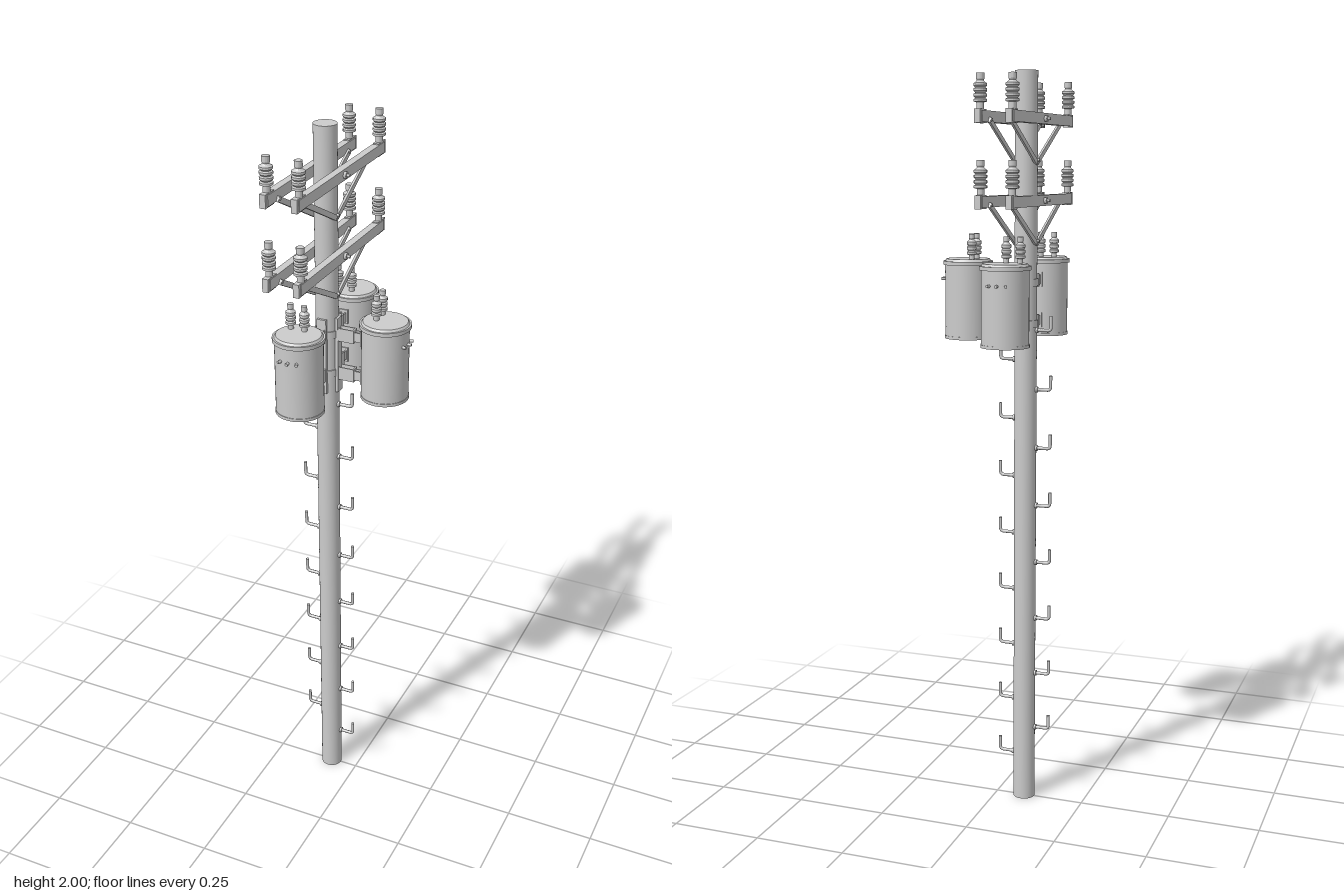
import * as THREE from 'three';

const material = new THREE.MeshStandardMaterial({ color: 0xcccccc });
const ridged = new THREE.MeshStandardMaterial({ color: 0xcccccc, flatShading: true });
const POLE_X = -0.08, POLE_R = 0.03;

function add(parent, name, geometry, x = 0, y = 0, z = 0, mat = material) {
  const mesh = new THREE.Mesh(geometry, mat);
  mesh.name = name;
  mesh.position.set(x, y, z);
  parent.add(mesh);
  return mesh;
}

const box = (w, h, d) => new THREE.BoxGeometry(w, h, d);
const cyl = (r, h, n = 16) => new THREE.CylinderGeometry(r, r, h, n);
const lathe = (pts, n) => new THREE.LatheGeometry(pts.map(([r, y]) => new THREE.Vector2(r, y)), n);

// Flat bar between two points in the yz plane
function strut(parent, name, x, [y0, z0], [y1, z1]) {
  const bar = add(parent, name, box(0.006, 0.014, Math.hypot(y1 - y0, z1 - z0)), x, (y0 + y1) / 2, (z0 + z1) / 2);
  bar.rotation.x = -Math.atan2(y1 - y0, z1 - z0);
}

// Ribbed insulator standing on y = 0: stem, sheds and cap
function insulatorGeometry(height, radius, sheds) {
  const pts = [[0, 0], [radius * 0.55, 0], [radius * 0.55, height * 0.2]];
  const step = height * 0.58 / sheds;
  for (let i = 0; i < sheds; i++) {
    const y = height * 0.2 + i * step;
    pts.push([radius, y + step * 0.15], [radius, y + step * 0.6], [radius * 0.72, y + step * 0.8]);
  }
  pts.push([radius * 0.5, height * 0.8], [radius * 0.6, height * 0.84], [radius * 0.6, height], [0, height]);
  return lathe(pts, 16);
}

// A pair of crossarms with braces, bolts and insulators
function crossarmSet(y) {
  const g = new THREE.Group();
  g.name = 'crossarmSet';
  g.position.set(POLE_X, y, 0);
  const pin = insulatorGeometry(0.088, 0.017, 4);
  for (const s of [-1, 1]) {
    const x = s * 0.041;
    add(g, 'crossarm', box(0.02, 0.028, 0.49), x, 0, 0);
    for (const e of [-1, 1]) {
      add(g, 'armEndBracket', box(0.016, 0.034, 0.044), x, 0, e * 0.232);
      add(g, 'pinInsulator', pin, x + s * 0.001, 0.015, e * 0.229, ridged);
      strut(g, 'diagonalBrace', s * 0.0285, [-0.008, e * 0.2], [-0.112, e * 0.002]);
      add(g, 'braceBolt', cyl(0.005, 0.012, 6), s * 0.029, -0.008, e * 0.195).rotation.z = Math.PI / 2;
    }
    add(g, 'boltNut', cyl(0.009, 0.008, 6), s * 0.054, 0, 0).rotation.z = Math.PI / 2;
  }
  add(g, 'throughBolt', cyl(0.004, 0.132, 8), 0, 0, 0).rotation.z = Math.PI / 2;
  add(g, 'braceThroughBolt', cyl(0.004, 0.074, 8), 0, -0.105, 0).rotation.z = Math.PI / 2;
  return g;
}

// Transformer can, hung on the +x side of the pole; side flips its bushings
function transformer(angle, side) {
  const g = new THREE.Group();
  g.name = 'transformer';
  g.position.x = POLE_X;
  g.rotation.y = angle;
  const cx = 0.164;

  add(g, 'tank', cyl(0.062, 0.2, 40), cx, 1.402, 0);
  add(g, 'tankFoot', cyl(0.0635, 0.008, 40), cx, 1.304, 0);
  add(g, 'lidRim', cyl(0.067, 0.01, 40), cx, 1.503, 0);
  add(g, 'lid', new THREE.CylinderGeometry(0.058, 0.062, 0.006, 40), cx, 1.511, 0);

  const bushing = insulatorGeometry(0.07, 0.013, 3);
  for (const z of [-0.033, 0.005]) add(g, 'bushing', bushing, cx - 0.023, 1.511, z * side, ridged);

  // Low-voltage terminals on the outer face
  for (const a of [-0.36, 0, 0.36]) {
    const t = add(g, 'terminal', cyl(0.004, 0.014, 8), cx + Math.cos(a) * 0.065, 1.46, Math.sin(a) * 0.065);
    t.rotation.set(0, -a, Math.PI / 2, 'YXZ');
  }

  // Hanger: pole plate, two channels and two tank lugs
  add(g, 'polePlate', box(0.008, 0.21, 0.026), POLE_R + 0.002, 1.395, 0);
  for (const y of [1.455, 1.345]) {
    for (const s of [-1, 1]) {
      add(g, 'channelSide', box(0.05, 0.036, 0.003), 0.055, y, s * 0.0095);
      add(g, 'lugSide', box(0.034, 0.026, 0.003), 0.09, y, s * 0.0065);
    }
    add(g, 'channelEnd', box(0.004, 0.036, 0.02), 0.078, y, 0);
    add(g, 'tankPad', box(0.006, 0.04, 0.024), cx - 0.062, y, 0);
  }
  return g;
}

// L-shaped climbing step on one side of the pole
function climbingStep(parent, side, y) {
  const path = new THREE.CurvePath();
  const p = (x, py) => new THREE.Vector3(POLE_X + side * x, y + py, 0);
  path.add(new THREE.LineCurve3(p(0.02, 0), p(0.062, 0)));
  path.add(new THREE.QuadraticBezierCurve3(p(0.062, 0), p(0.071, 0), p(0.071, 0.009)));
  path.add(new THREE.LineCurve3(p(0.071, 0.009), p(0.071, 0.038)));
  add(parent, 'climbingStep', new THREE.TubeGeometry(path, 24, 0.0045, 8));
  add(parent, 'stepTip', cyl(0.0045, 0.002, 8), POLE_X + side * 0.071, y + 0.038, 0);
  add(parent, 'stepCollar', cyl(0.008, 0.006, 8), POLE_X + side * 0.032, y, 0).rotation.z = Math.PI / 2;
}

export function createModel() {
  const model = new THREE.Group();
  model.name = 'utilityPole';

  add(model, 'pole', cyl(POLE_R, 2, 32), POLE_X, 1, 0);
  model.add(crossarmSet(1.878), crossarmSet(1.669));

  // Cans to the left, front and back
  model.add(transformer(0, 1), transformer(-Math.PI / 2, -1), transformer(Math.PI / 2, 1));
  for (const y of [1.455, 1.345]) add(model, 'poleBand', cyl(POLE_R + 0.003, 0.02, 32), POLE_X, y, 0);

  // Steps alternate from side to side
  for (let i = 0; i < 16; i++) climbingStep(model, i % 2 ? -1 : 1, 0.128 + i * 0.08);

  return model;
}
